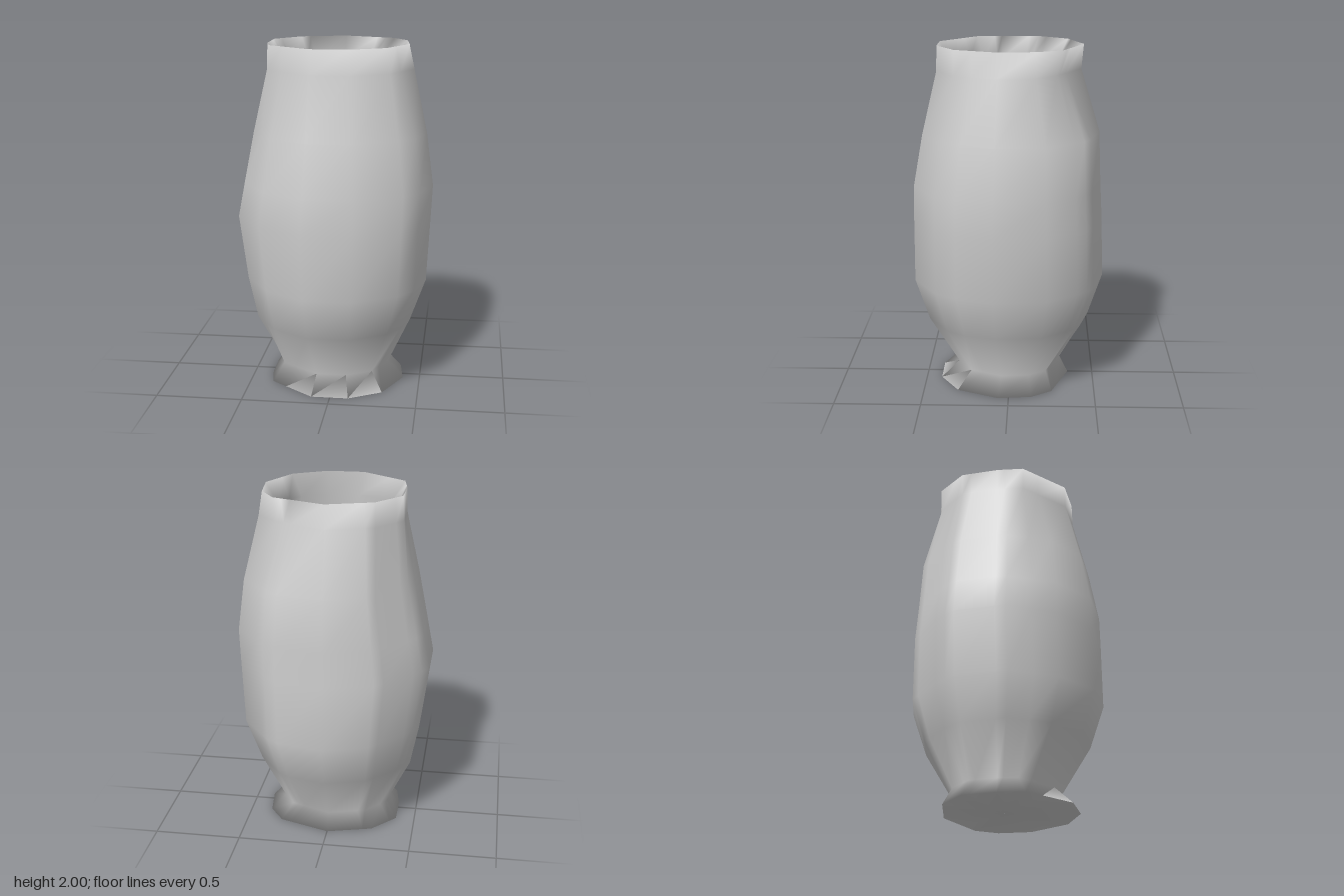
import * as THREE from 'three';

// Outlines seen from above, as [x, z] corners
const bodyOutline = [[0, -0.555], [0.28, -0.49], [0.35, -0.45], [0.535, -0.22], [0.565, 0.075], [0.5, 0.29], [0.41, 0.41],
  [0.145, 0.55], [-0.145, 0.55], [-0.4, 0.4], [-0.565, 0.15], [-0.565, -0.15], [-0.48, -0.28], [-0.28, -0.475]];
const rimOutline = [[0, -0.42], [0.3, -0.3], [0.385, -0.17], [0.41, 0.06], [0.3, 0.3], [0.11, 0.41], [-0.11, 0.41],
  [-0.37, 0.21], [-0.395, 0.06], [-0.395, -0.16], [-0.26, -0.335]];
const throatOutline = [[0, -0.36], [0.28, -0.22], [0.35, -0.06], [0.33, 0.14], [0.14, 0.335], [0, 0.36], [-0.22, 0.285],
  [-0.36, 0.045], [-0.26, -0.25]];

// All ring vertices sit at the corner angles of the outer outlines
const angles = [...bodyOutline, ...rimOutline].map(([x, z]) => Math.atan2(x, z)).sort((a, b) => a - b)
  .filter((a, i, all) => i === 0 || a - all[i - 1] > 0.03);

// Distance from the axis to an outline along one direction
function reach(outline, dx, dz) {
  let best = Infinity;
  outline.forEach(([x0, z0], i) => {
    const [x1, z1] = outline[(i + 1) % outline.length];
    const nx = z1 - z0, nz = x0 - x1;
    const facing = nx * dx + nz * dz, offset = nx * x0 + nz * z0;
    const r = offset / facing;
    if (r > 0) best = Math.min(best, r);
  });
  return best;
}

// One ring; extents are its reach to -x, +x, +z and -z
function ring(outline, y, extents, dent = 0) {
  const xs = outline.map((p) => p[0]), zs = outline.map((p) => p[1]);
  const full = [-Math.min(...xs), Math.max(...xs), Math.max(...zs), -Math.min(...zs)];
  const [l, r, f, b] = extents.map((e, i) => e / full[i]);
  return angles.map((a) => {
    const dx = Math.sin(a), dz = Math.cos(a), d = reach(outline, dx, dz);
    // a dent pinches the neck at the back left
    const pinch = 1 - dent * Math.exp(-(((a - 2.4) / 0.3) ** 2));
    return [dx * d * (dx < 0 ? l : r) * pinch, y, dz * d * (dz < 0 ? b : f) * pinch];
  });
}

// Closed skin over a list of rings with shared smooth normals
function skin(rings) {
  const n = angles.length, index = [];
  for (let i = 0; i < rings.length - 1; i++) {
    for (let j = 0; j < n; j++) {
      const a = i * n + j, b = i * n + (j + 1) % n;
      index.push(a, b, b + n, a, b + n, a + n);
    }
  }
  const geometry = new THREE.BufferGeometry();
  geometry.setAttribute('position', new THREE.Float32BufferAttribute(rings.flat(2), 3));
  geometry.setIndex(index);
  geometry.computeVertexNormals();
  return geometry;
}

export function createModel() {
  const clay = new THREE.MeshStandardMaterial({ color: 0xcccccc });
  clay.name = 'grey clay';
  const even = (r) => [r, r, r, r];

  const rings = [
    // underside and flared foot
    ring(rimOutline, 0, even(0.002)),
    ring(rimOutline, 0, [0.39, 0.4, 0.41, 0.35]),
    ring(rimOutline, 0.1, [0.325, 0.31, 0.305, 0.3]),
    // belly
    ring(bodyOutline, 0.38, [0.465, 0.44, 0.475, 0.465]),
    ring(bodyOutline, 0.63, [0.515, 0.53, 0.555, 0.55]),
    ring(bodyOutline, 1.0, [0.565, 0.55, 0.553, 0.538]),
    ring(bodyOutline, 1.2, [0.527, 0.56, 0.55, 0.527]),
    ring(bodyOutline, 1.5, [0.47, 0.52, 0.497, 0.515]),
    // neck and rim
    ring(rimOutline, 1.86, [0.4, 0.44, 0.412, 0.405], 0.1),
    ring(rimOutline, 2, [0.395, 0.41, 0.41, 0.417]),
    // throat and hollow inside
    ring(throatOutline, 1.88, [0.36, 0.35, 0.36, 0.36]),
    ring(bodyOutline, 1.5, [0.42, 0.46, 0.44, 0.45]),
    ring(bodyOutline, 1.0, even(0.49)),
    ring(bodyOutline, 0.6, even(0.46)),
    ring(bodyOutline, 0.35, even(0.36)),
    ring(bodyOutline, 0.18, even(0.2)),
    ring(bodyOutline, 0.14, even(0.002)),
  ];

  const vase = new THREE.Mesh(skin(rings), clay);
  vase.name = 'vase';
  const group = new THREE.Group();
  group.name = 'vaseModel';
  group.add(vase);
  return group;
}
